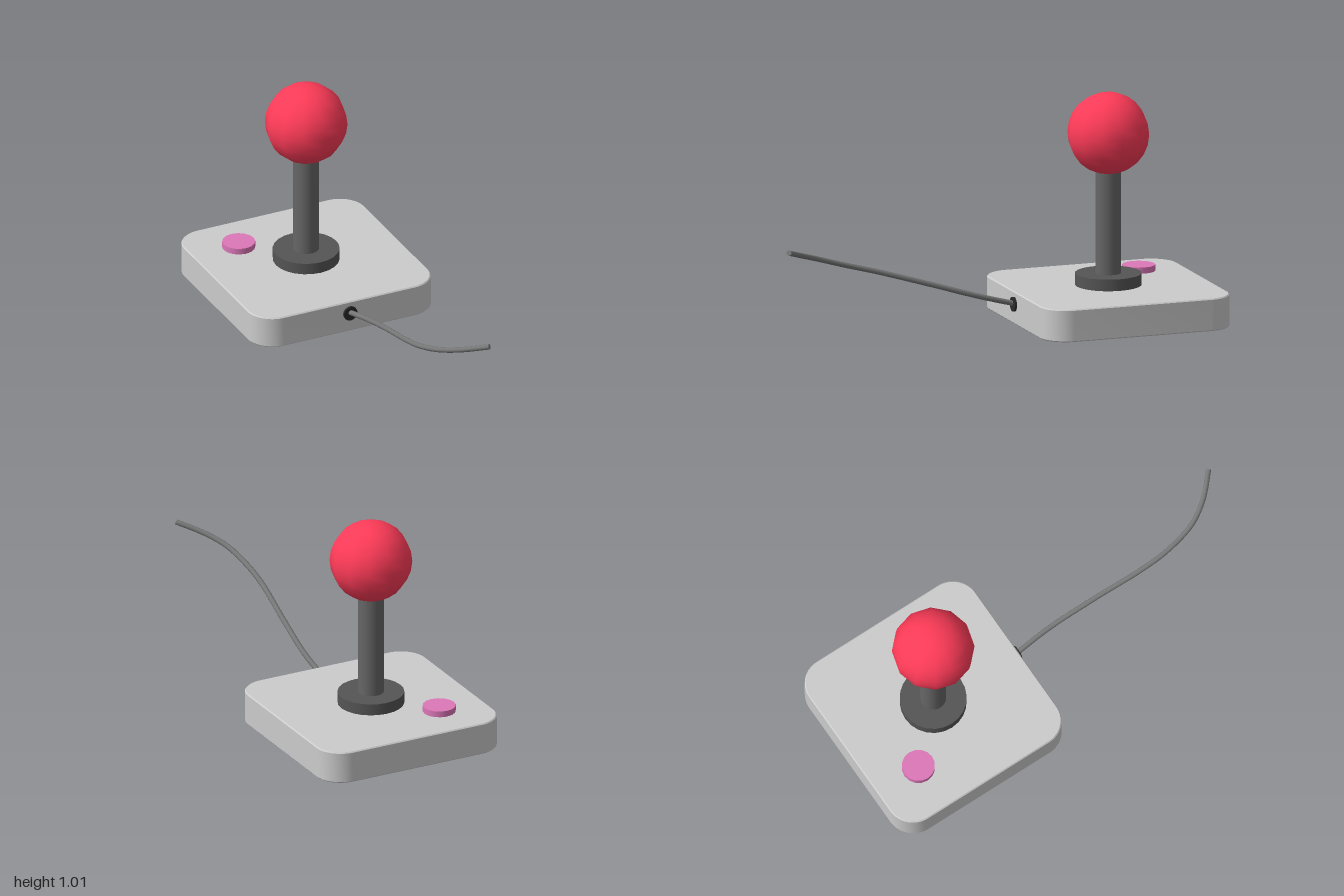
import * as THREE from 'three';
import { toCreasedNormals } from 'three/addons/utils/BufferGeometryUtils.js';

const CENTRE_Z = -0.56;

export function createModel() {
  const group = new THREE.Group();
  const add = (name, geometry, color, x = 0, y = 0, z = 0) => {
    const mesh = new THREE.Mesh(geometry, new THREE.MeshStandardMaterial({ color }));
    mesh.name = name;
    mesh.position.set(x, y, z);
    group.add(mesh);
    return mesh;
  };

  // Rounded square base, extruded upwards with a fine edge bevel
  const bevel = 0.005, h = 0.44 - bevel, r = 0.115;
  const outline = new THREE.Shape();
  outline.absarc(h - r, h - r, r, 0, Math.PI / 2);
  outline.absarc(r - h, h - r, r, Math.PI / 2, Math.PI);
  outline.absarc(r - h, r - h, r, Math.PI, Math.PI * 1.5);
  outline.absarc(h - r, r - h, r, Math.PI * 1.5, Math.PI * 2);
  const baseGeometry = new THREE.ExtrudeGeometry(outline, {
    depth: 0.146 - 2 * bevel, bevelSize: bevel, bevelThickness: bevel,
    bevelSegments: 1, curveSegments: 8,
  });
  baseGeometry.rotateX(-Math.PI / 2);
  add('base', toCreasedNormals(baseGeometry, 0.6), 0xcccccc, 0, bevel, CENTRE_Z);

  // Stick: collar, shaft and ball knob
  add('collar', new THREE.CylinderGeometry(0.147, 0.147, 0.058, 24), 0x555555, 0, 0.169, CENTRE_Z);
  add('shaft', new THREE.CylinderGeometry(0.057, 0.057, 0.54, 24), 0x666666, 0, 0.45, CENTRE_Z);
  add('ballKnob', new THREE.SphereGeometry(0.182, 12, 12), 0xff3b58, 0, 0.825, CENTRE_Z);

  // Fire button
  add('button', new THREE.CylinderGeometry(0.073, 0.073, 0.033, 16), 0xdd77b8, -0.22, 0.157, -0.785);

  // Cable socket on the front wall
  const socket = add('cableSocket', new THREE.CylinderGeometry(0.033, 0.033, 0.03, 16), 0x2a2a2a, 0, 0.09, -0.125);
  socket.rotation.x = Math.PI / 2;

  // Trailing cable, rising and curling towards its free end
  const path = new THREE.CatmullRomCurve3([
    [0, 0.09, -0.13], [0.005, 0.14, 0.05], [-0.012, 0.21, 0.28], [-0.036, 0.28, 0.52],
    [-0.036, 0.315, 0.65], [-0.008, 0.362, 0.8], [0.052, 0.397, 0.9], [0.143, 0.434, 0.99],
  ].map((p) => new THREE.Vector3(...p)));
  const cableRadius = 0.012;
  add('cable', new THREE.TubeGeometry(path, 48, cableRadius, 10), 0x777777);
  const end = path.getPoint(1);
  const cap = add('cableEnd', new THREE.CircleGeometry(cableRadius, 10), 0x777777, end.x, end.y, end.z);
  cap.quaternion.setFromUnitVectors(new THREE.Vector3(0, 0, 1), path.getTangent(1));

  return group;
}
